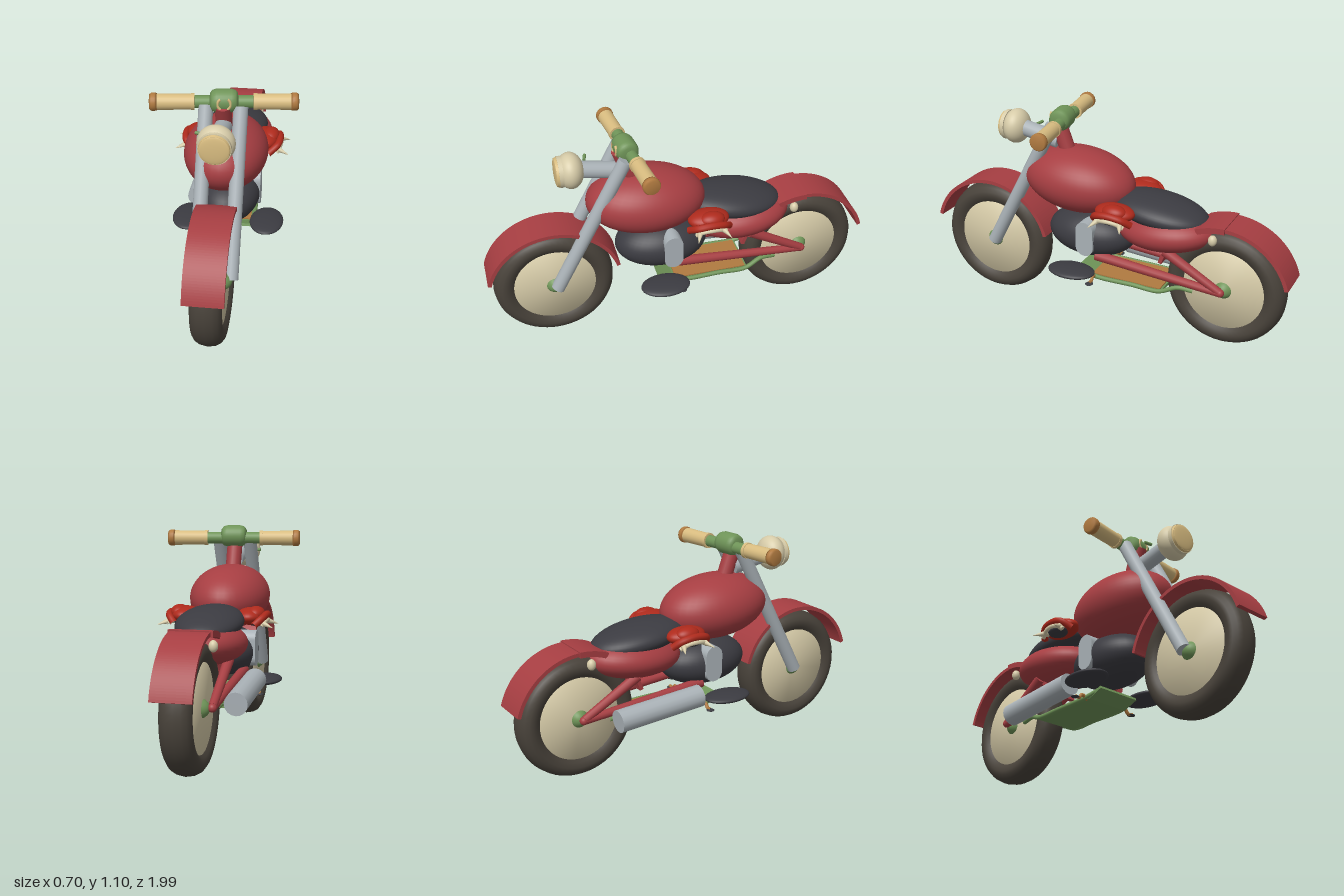
import * as THREE from 'three';

const paint = (name, color, opts = {}) => {
  const m = new THREE.MeshStandardMaterial({ color, ...opts });
  m.name = name;
  return m;
};

export function createModel() {
  const red = paint('red paint', 0xa63e42);
  const scarlet = paint('scarlet', 0xae2a1c);
  const black = paint('black', 0x3b3b41);
  const rubber = paint('rubber', 0x48423a);
  const cream = paint('cream', 0xd6cba8);
  const tan = paint('tan', 0xd8bc80);
  const brown = paint('brown', 0xb07a40);
  const green = paint('green', 0x6f9458);
  const silver = paint('silver', 0xa9b1b6);

  const model = new THREE.Group();
  const V = (x, y, z) => new THREE.Vector3(x, y, z);

  const add = (name, geo, mat, pos = [0, 0, 0], parent = model) => {
    const mesh = new THREE.Mesh(geo, mat);
    mesh.name = name;
    mesh.position.set(...pos);
    parent.add(mesh);
    return mesh;
  };
  const ball = (name, mat, pos, radii, tilt = 0, parent = model) => {
    const mesh = add(name, new THREE.SphereGeometry(1, 40, 26), mat, pos, parent);
    mesh.scale.set(...radii);
    mesh.rotation.x = tilt;
    return mesh;
  };
  // Cylinder or cone running from a to b
  const rod = (name, mat, a, b, ra, rb = ra, sides = 20, parent = model) => {
    const p = V(...a), q = V(...b), dir = q.clone().sub(p);
    const mesh = add(name, new THREE.CylinderGeometry(rb, ra, dir.length(), sides), mat,
      p.clone().add(q).multiplyScalar(0.5).toArray(), parent);
    mesh.quaternion.setFromUnitVectors(V(0, 1, 0), dir.normalize());
    return mesh;
  };
  // Lathe turned so that its axis lies along x
  const turned = (points, sides = 56) => new THREE.LatheGeometry(
    points.map(([r, x]) => new THREE.Vector2(r, x)), sides).rotateZ(-Math.PI / 2);

  // Curved strip around the wheel axis
  const strip = (inner, outer, from, to, width) => {
    const s = new THREE.Shape();
    s.absarc(0, 0, outer, from, to, false);
    s.absarc(0, 0, inner, to, from, true);
    return new THREE.ExtrudeGeometry(s, { depth: width, bevelEnabled: false, curveSegments: 36 })
      .translate(0, 0, -width / 2).rotateY(Math.PI / 2);
  };

  // Wheels with mudguards
  for (const [label, z] of [['front', 0.66], ['rear', -0.655]]) {
    const wheel = new THREE.Group();
    wheel.name = label + 'Wheel';
    wheel.position.set(0, 0.315, z);
    model.add(wheel);
    add('tyre', turned([[0.205, -0.05], [0.225, -0.068], [0.25, -0.075], [0.27, -0.072], [0.29, -0.058],
      [0.303, -0.035], [0.309, 0], [0.303, 0.035], [0.29, 0.058], [0.27, 0.072], [0.25, 0.075],
      [0.225, 0.068], [0.205, 0.05]]), rubber, [0, 0, 0], wheel);
    add('wheelDisc', turned([[0, -0.06], [0.21, -0.056], [0.21, 0.056], [0, 0.06]]), cream, [0, 0, 0], wheel);
    ball('hub', green, [0, 0, 0], [0.09, 0.058, 0.058], 0, wheel);
    add('mudguard', strip(0.33, 0.349, 0.27, Math.PI - 0.27, 0.19), red, [0, 0, 0], wheel);
  }

  // Tank, seat, tail and engine
  ball('fuelTank', red, [0, 0.74, 0.165], [0.205, 0.165, 0.303], -0.06);
  ball('seat', black, [0, 0.655, -0.29], [0.163, 0.075, 0.255], -0.12);
  ball('tailBody', red, [0, 0.565, -0.33], [0.19, 0.107, 0.262], 0.08);
  ball('engine', black, [0, 0.465, 0.09], [0.163, 0.127, 0.24]);
  add('tailBracket', strip(0.325, 0.354, Math.PI / 2 - 0.02, Math.PI / 2 + 0.42, 0.21), red, [0, 0.315, -0.655]);

  // Cooling plate running across the engine
  const plate = new THREE.Shape();
  plate.absarc(0, 0.045, 0.048, 0, Math.PI, false);
  plate.absarc(0, -0.045, 0.048, Math.PI, Math.PI * 2, false);
  add('enginePlate', new THREE.ExtrudeGeometry(plate, { depth: 0.328, bevelEnabled: false, curveSegments: 16 })
    .translate(0, 0, -0.164).rotateY(Math.PI / 2), silver, [0, 0.483, 0.06]);

  // Steering neck and headlight
  rod('steeringNeck', red, [0, 0.85, 0.22], [0, 1.04, 0.29], 0.04);
  rod('headlightStem', silver, [0, 0.925, 0.28], [0, 0.965, 0.5], 0.042);
  ball('headlightShell', cream, [0, 0.965, 0.53], [0.089, 0.09, 0.066]);
  rod('headlightRim', cream, [0, 0.965, 0.57], [0, 0.965, 0.59], 0.077, 0.077, 36);
  rod('headlightLens', tan, [0, 0.965, 0.588], [0, 0.965, 0.602], 0.074, 0.07, 36);
  ball('headlightGlass', tan, [0, 0.965, 0.6], [0.07, 0.07, 0.01]);
  rod('sideLever', green, [-0.07, 0.965, 0.45], [-0.108, 0.968, 0.44], 0.008);

  // Handlebar, turned slightly to one side
  const bar = new THREE.Group();
  bar.name = 'handlebar';
  bar.position.set(0, 1.04, 0.25);
  bar.rotation.y = 0.125;
  model.add(bar);
  rod('crossbar', green, [-0.15, 0, 0], [0.15, 0, 0], 0.03, 0.03, 24, bar);
  add('barClamp', turned([[0, -0.066], [0.035, -0.066], [0.05, -0.055], [0.056, -0.035], [0.056, 0.035],
    [0.05, 0.055], [0.035, 0.066], [0, 0.066]], 32), green, [0, 0.01, 0.01], bar);
  for (const s of [-1, 1]) {
    const mark = add('clampMark', new THREE.TorusGeometry(0.03, 0.007, 8, 16, 2), tan, [0, 0.014, 0.062], bar);
    mark.rotation.z = s > 0 ? -1 : Math.PI - 1;
    rod('grip', tan, [s * 0.14, 0, 0], [s * 0.325, 0, 0], 0.037, 0.039, 24, bar);
    rod('gripCollar', tan, [s * 0.138, 0, 0], [s * 0.155, 0, 0], 0.04, 0.04, 24, bar);
    const cap = add('gripCap', turned([[0, -0.018], [0.04, -0.018], [0.043, -0.008], [0.043, 0.008],
      [0.036, 0.018], [0, 0.018]], 24), brown, [s * 0.331, 0, 0], bar);
    if (s < 0) cap.rotation.y = Math.PI;
  }

  // Exhaust on one side only
  rod('exhaust', silver, [-0.176, 0.338, -0.04], [-0.176, 0.308, -0.51], 0.057, 0.057, 16)
    .material = silver;

  // Skid tray under the engine
  add('skidTray', new THREE.BoxGeometry(0.24, 0.014, 0.4), green, [0, 0.259, -0.15]);
  add('skidTrayFloor', new THREE.BoxGeometry(0.22, 0.006, 0.38), brown, [0, 0.269, -0.15]);
  const lip = add('skidTrayNose', new THREE.BoxGeometry(0.24, 0.014, 0.09), green, [0, 0.272, 0.085]);
  lip.rotation.x = -0.35;

  // Paired parts
  for (const s of [-1, 1]) {
    rod('forkLeg', silver, [s * 0.082, 0.315, 0.65], [s * 0.082, 1.03, 0.275], 0.035);
    rod('lowerSwingarm', red, [s * 0.105, 0.375, 0.02], [s * 0.1, 0.32, -0.655], 0.026, 0.02, 12);
    rod('upperSwingarm', red, [s * 0.11, 0.49, -0.36], [s * 0.1, 0.325, -0.65], 0.026, 0.02, 12);
    ball('swingarmEnd', red, [s * 0.1, 0.32, -0.655], [0.021, 0.021, 0.021]);
    ball('footboard', black, [s * 0.2, 0.312, 0.115], [0.086, 0.023, 0.127]);
    ball('tailLight', cream, [s * 0.092, 0.592, -0.6], [0.022, 0.028, 0.022]);

    // Tray rail
    const rail = new THREE.CatmullRomCurve3([V(s * 0.1, 0.29, 0.12), V(s * 0.12, 0.265, 0.04),
      V(s * 0.12, 0.262, -0.2), V(s * 0.12, 0.262, -0.34), V(s * 0.1, 0.295, -0.43), V(s * 0.09, 0.29, -0.51)]);
    add('trayRail', new THREE.TubeGeometry(rail, 30, 0.012, 8), green);

    // Small peg with a dark tip
    const peg = new THREE.CatmullRomCurve3([V(s * 0.11, 0.255, 0.02), V(s * 0.145, 0.272, 0.02),
      V(s * 0.165, 0.252, 0.02), V(s * 0.195, 0.255, 0.02)]);
    add('peg', new THREE.TubeGeometry(peg, 14, 0.009, 8), brown);
    ball('pegTip', black, [s * 0.188, 0.249, 0.02], [0.022, 0.005, 0.02]);

    // Side ornament: scarlet folds over a dark hollow, with cream points
    const ornament = new THREE.Group();
    ornament.name = 'sideOrnament';
    model.add(ornament);
    ball('ornamentFold', scarlet, [s * 0.165, 0.672, -0.115], [0.07, 0.043, 0.105], 0, ornament);
    ball('ornamentKnob', scarlet, [s * 0.195, 0.685, -0.125], [0.045, 0.038, 0.065], 0, ornament);
    ball('ornamentHollow', black, [s * 0.195, 0.645, -0.11], [0.05, 0.022, 0.06], 0, ornament);
    const brow = new THREE.CatmullRomCurve3([V(s * 0.2, 0.635, -0.215), V(s * 0.235, 0.67, -0.175),
      V(s * 0.245, 0.682, -0.11), V(s * 0.235, 0.67, -0.045), V(s * 0.19, 0.635, -0.01)]);
    add('ornamentBrow', new THREE.TubeGeometry(brow, 24, 0.018, 10), scarlet, [0, 0, 0], ornament);
    const rim = new THREE.CatmullRomCurve3([V(s * 0.23, 0.628, -0.19), V(s * 0.245, 0.65, -0.15),
      V(s * 0.25, 0.655, -0.11), V(s * 0.245, 0.65, -0.07), V(s * 0.23, 0.628, -0.035)]);
    add('ornamentRim', new THREE.TubeGeometry(rim, 20, 0.011, 8), cream, [0, 0, 0], ornament);
    for (const [z, tip] of [[-0.165, -0.2], [-0.06, -0.03]]) {
      rod('ornamentPoint', cream, [s * 0.22, 0.65, z], [s * 0.292, 0.626, tip], 0.02, 0.001, 12, ornament);
    }
  }
  return model;
}
